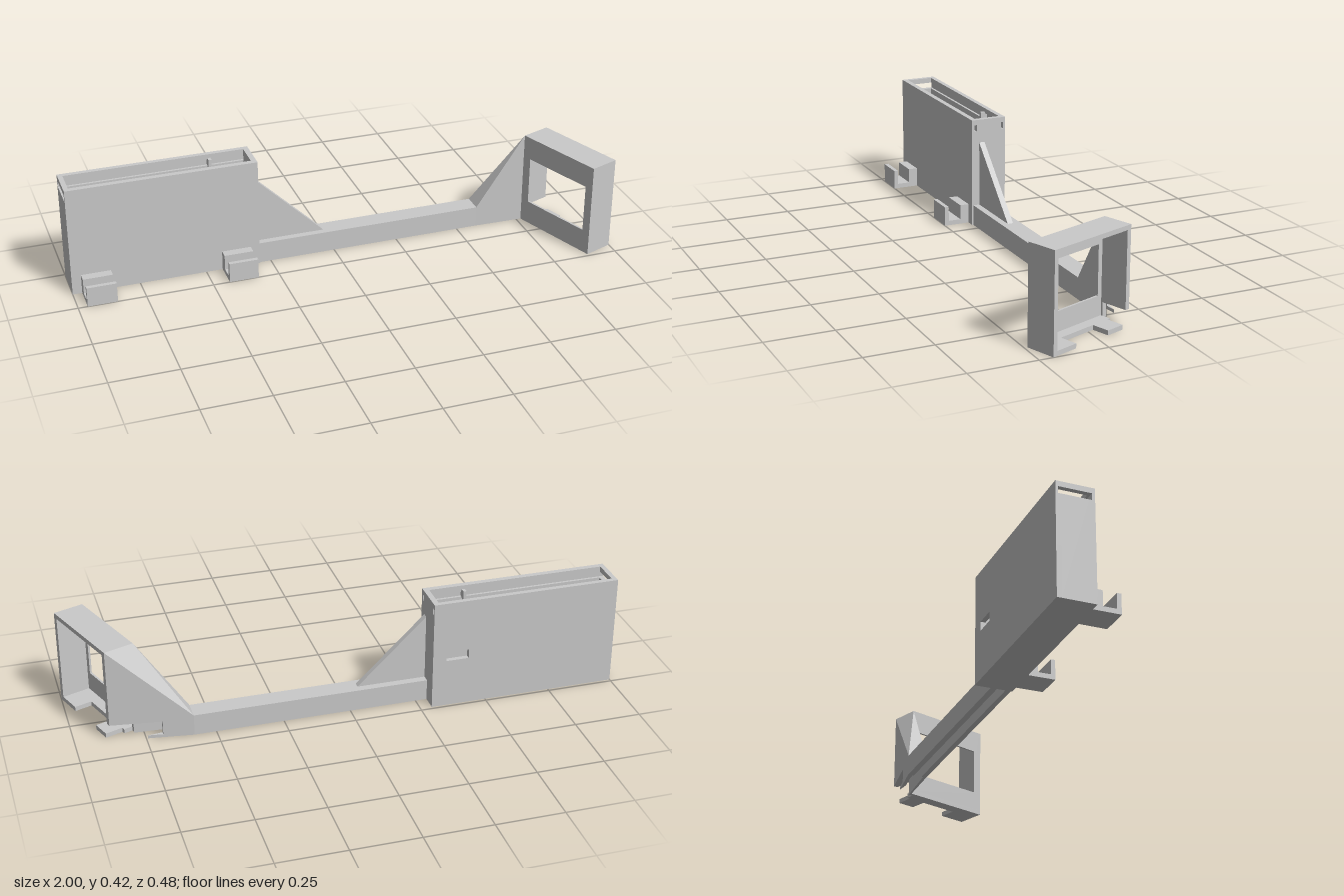
import * as THREE from 'three';
import { ConvexGeometry } from 'three/addons/geometries/ConvexGeometry.js';

const grey = new THREE.MeshStandardMaterial({ color: 0xcacaca });
grey.name = 'light grey plastic';

function add(parent, name, geometry) {
  const mesh = new THREE.Mesh(geometry, grey);
  mesh.name = name;
  parent.add(mesh);
  return mesh;
}

// Box given by its ranges on each axis
function bar(parent, name, [x0, x1], [y0, y1], [z0, z1]) {
  const g = new THREE.BoxGeometry(x1 - x0, y1 - y0, z1 - z0);
  g.translate((x0 + x1) / 2, (y0 + y1) / 2, (z0 + z1) / 2);
  return add(parent, name, g);
}

// Upright panel with a rectangular opening; u is x or z, t is the thickness range
function panel(parent, name, axis, t, u, y, hu, hy) {
  const put = (ur, yr) => axis === 'x'
    ? bar(parent, name, ur, yr, t)
    : bar(parent, name, t, yr, ur);
  put(u, [y[0], hy[0]]);
  put(u, [hy[1], y[1]]);
  put([u[0], hu[0]], hy);
  put([hu[1], u[1]], hy);
}

// Solid between a flat outline at y0 and the same outline at the given top heights
function hull(parent, name, outline, y0, tops) {
  const pts = [];
  outline.forEach(([x, z], i) => {
    pts.push(new THREE.Vector3(x, y0, z), new THREE.Vector3(x, tops[i], z));
  });
  return add(parent, name, new ConvexGeometry(pts));
}

function group(parent, name) {
  const g = new THREE.Group();
  g.name = name;
  parent.add(g);
  return g;
}

export function createModel() {
  const model = new THREE.Group();
  model.name = 'holder';

  // Open-topped case with a groove for a sliding lid
  const box = group(model, 'case');
  const X = [-1, -0.293], Z = [-0.239, -0.1];
  const inX = [-0.982, -0.313], inZ = [-0.221, -0.12];
  const lid = [0.375, 0.4], low = [0, lid[0]], rim = [lid[1], 0.42];
  bar(box, 'caseFloor', inX, [0, 0.02], inZ);
  bar(box, 'caseFront', X, low, [inZ[1], Z[1]]);
  bar(box, 'caseFrontGroove', X, lid, [-0.111, Z[1]]);
  bar(box, 'caseFrontRim', X, rim, [inZ[1], Z[1]]);
  panel(box, 'caseBack', 'x', [Z[0], inZ[0]], X, low, [-0.43, -0.345], [0.185, 0.22]);
  bar(box, 'caseBackGroove', X, lid, [Z[0], -0.23]);
  bar(box, 'caseBackRim', X, rim, [Z[0], inZ[0]]);
  bar(box, 'caseInnerEnd', [inX[1], X[1]], [0, 0.42], inZ);
  bar(box, 'caseOuterEnd', [X[0], inX[0]], low, inZ);
  bar(box, 'caseOuterEndRim', [X[0], inX[0]], rim, inZ);
  // Small catches for the lid
  bar(box, 'lidCatch', [-0.45, -0.438], [0.37, 0.405], [-0.23, -0.203]);
  bar(box, 'lidCatch', [-0.45, -0.438], [0.37, 0.405], [-0.139, -0.111]);

  // Two channel clips on the front of the case
  for (const x of [-0.91, -0.383]) {
    const clip = group(model, 'clip');
    const w = [x - 0.055, x + 0.055];
    bar(clip, 'clipFloor', w, [0, 0.018], [-0.1, 0]);
    bar(clip, 'clipFront', w, [0.018, 0.075], [-0.016, 0]);
    bar(clip, 'clipBack', w, [0.018, 0.075], [-0.1, -0.065]);
  }

  // Beam with a cable channel open underneath
  const beam = group(model, 'beam');
  const L = [X[1], 0.58];
  bar(beam, 'beamTop', L, [0.065, 0.08], [-0.18, -0.105]);
  bar(beam, 'beamFront', L, [0, 0.065], [-0.118, -0.105]);
  bar(beam, 'beamBack', L, [0, 0.065], [-0.18, -0.166]);
  bar(beam, 'beamLip', L, [0, 0.012], [-0.166, -0.157]);
  bar(beam, 'beamLip', L, [0, 0.012], [-0.125, -0.118]);

  // Triangular rib bracing the case
  const rib = new THREE.Shape([[X[1], 0.08], [-0.035, 0.08], [X[1], 0.33]]
    .map(([x, y]) => new THREE.Vector2(x, y)));
  const ribGeo = new THREE.ExtrudeGeometry(rib, { depth: 0.022, bevelEnabled: false });
  ribGeo.translate(0, 0, -0.152);
  add(model, 'rib', ribGeo);

  // Flared neck between beam and frame, with the cable exit at the back
  const neck = group(model, 'neck');
  const A = [0.876, -0.14], B = [0.768, -0.1007];
  const low4 = [0.065, 0.065, 0.065, 0.065];
  hull(neck, 'neckTop', [[0.58, -0.18], [0.58, -0.105], B, A], 0.065, [0.08, 0.08, 0.36, 0.36]);
  hull(neck, 'neckFront', [[0.58, -0.118], [0.58, -0.105], B, [0.785, -0.107]], 0, low4);
  hull(neck, 'neckBack', [[0.58, -0.18], [0.58, -0.166], [0.69, -0.151], [0.69, -0.1651]], 0, low4);
  hull(neck, 'neckLip', [[0.69, -0.151], [0.69, -0.1651], [0.745, -0.1577]], 0, [0.012, 0.012, 0.012]);

  // Turned frame: local z runs along it, local x = 0 is its open outer side
  const frame = group(model, 'frame');
  frame.position.set(A[0], 0, A[1]);
  frame.rotation.y = THREE.MathUtils.degToRad(20);
  const W = [-0.115, 0], len = 0.361, t = 0.017;
  bar(frame, 'frameTop', W, [0.343, 0.36], [0, len]);
  bar(frame, 'frameEnd', W, [0, 0.343], [len - t, len]);
  bar(frame, 'frameInnerEnd', W, [0.065, 0.343], [0, t]);
  bar(frame, 'frameInnerFoot', [-0.115, -0.1], [0, 0.065], [0, t]);
  // Floor with a notch in its outer edge
  bar(frame, 'frameFloor', [-0.115, -0.067], [0, t], [t, len - t]);
  bar(frame, 'frameFloor', [-0.067, 0], [0, t], [0.03, 0.101]);
  bar(frame, 'frameFloor', [-0.067, 0], [0, t], [0.255, len - t]);
  // Thin plate with a window on the inner side
  panel(frame, 'frameWindow', 'z', [-0.115, -0.107], [t, len - t], [t, 0.343], [0.035, 0.327], [0.09, 0.272]);

  return model;
}
